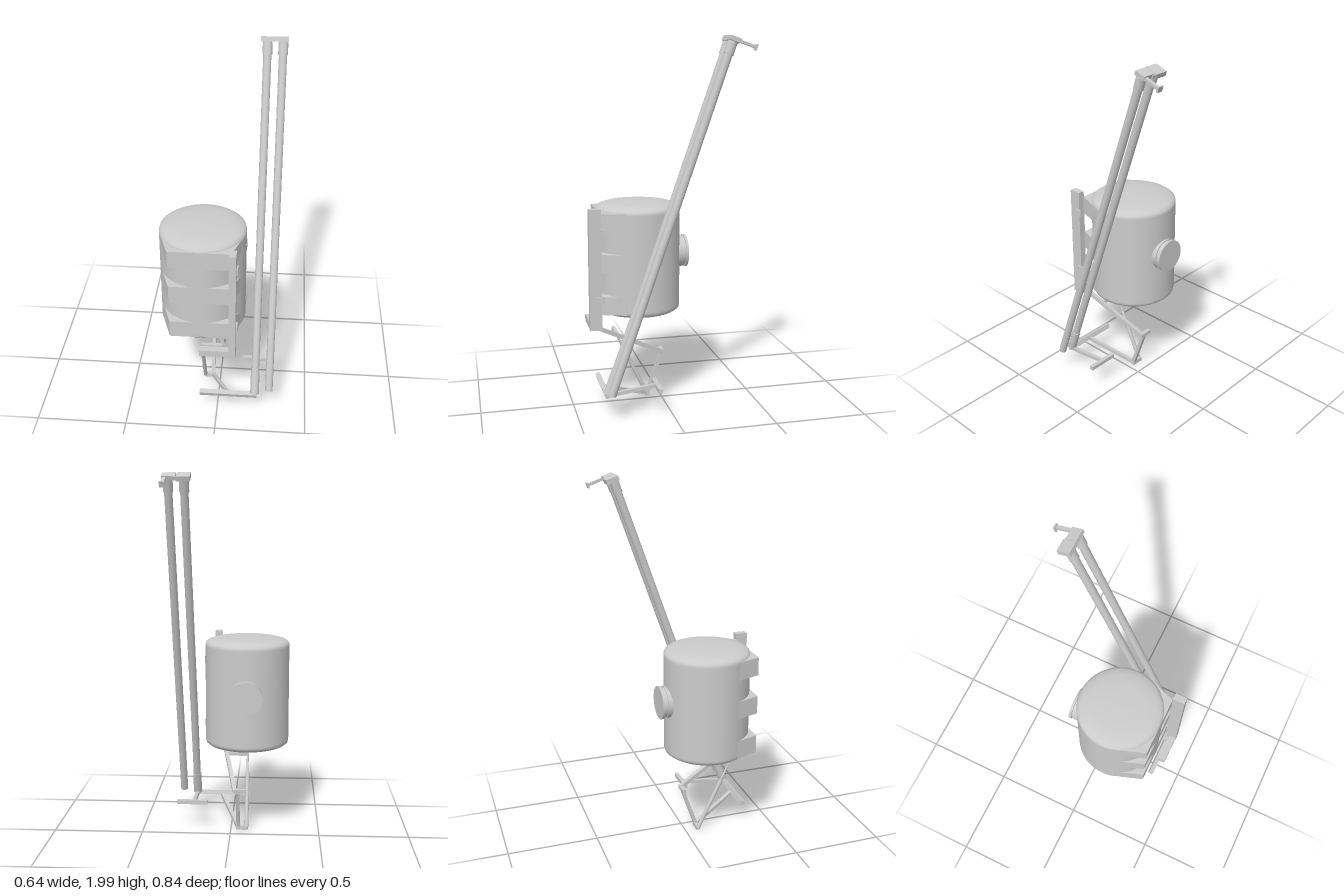
import * as THREE from 'three';

const grey = new THREE.MeshStandardMaterial({ color: 0xcccccc });
const thin = new THREE.MeshStandardMaterial({ color: 0xcccccc, side: THREE.DoubleSide });

function add(parent, name, geometry, x = 0, y = 0, z = 0, material = grey) {
  const mesh = new THREE.Mesh(geometry, material);
  mesh.name = name;
  mesh.position.set(x, y, z);
  parent.add(mesh);
  return mesh;
}

// Box given by its limits on each axis
function box(parent, name, x0, x1, y0, y1, z0, z1) {
  return add(parent, name, new THREE.BoxGeometry(x1 - x0, y1 - y0, z1 - z0),
    (x0 + x1) / 2, (y0 + y1) / 2, (z0 + z1) / 2);
}

// Square bar between two points
function bar(parent, name, a, b, w = 0.02, h = w) {
  const p = new THREE.Vector3(...a), q = new THREE.Vector3(...b);
  const mesh = add(parent, name, new THREE.BoxGeometry(w, h, p.distanceTo(q)));
  mesh.position.copy(p).add(q).multiplyScalar(0.5);
  mesh.lookAt(q);
  return mesh;
}

// Round rod between two points
function rod(parent, name, a, b, r) {
  const p = new THREE.Vector3(...a), q = new THREE.Vector3(...b);
  const mesh = add(parent, name, new THREE.CylinderGeometry(r, r, p.distanceTo(q), 16));
  mesh.position.copy(p).add(q).multiplyScalar(0.5);
  mesh.quaternion.setFromUnitVectors(new THREE.Vector3(0, 1, 0), q.sub(p).normalize());
  return mesh;
}

function lathe(points, segments = 48) {
  return new THREE.LatheGeometry(points.map(([r, y]) => new THREE.Vector2(r, y)), segments);
}

function createTank() {
  const g = new THREE.Group();
  g.name = 'tank';
  const cx = -0.09, cz = 0.116, R = 0.2325;

  // Vessel with shallow domed ends
  const end = [[0, 0], [0.08, 0.002], [0.14, 0.005], [0.185, 0.011], [0.215, 0.02], [0.229, 0.03], [R, 0.042], [R, 0.05]];
  const profile = [
    ...end.map(([r, d]) => [r, 0.495 + d]),
    ...end.slice().reverse().map(([r, d]) => [r, 1.12 - d]),
  ];
  add(g, 'vessel', lathe(profile, 64), cx, 0, cz);

  // Rear port: collar, groove and cap rim
  const port = new THREE.Group();
  port.name = 'rearPort';
  port.position.set(cx, 0.825, 0);
  port.rotation.x = -Math.PI / 2;
  for (const [name, r, d0, d1] of [['collar', 0.088, 0.04, 0.128], ['groove', 0.082, 0.12, 0.146], ['cap', 0.09, 0.143, 0.157]])
    add(port, name, new THREE.CylinderGeometry(r, r, d1 - d0, 40), 0, (d0 + d1) / 2, 0);
  g.add(port);

  // Three saddle blocks behind the front post
  const s = new THREE.Shape([[-0.298, 0.2], [0.118, 0.2], [0.118, 0.22], [0.074, 0.347], [-0.254, 0.347], [-0.298, 0.22]]
    .map(([x, y]) => new THREE.Vector2(x, y)));
  for (const top of [1.08, 0.86, 0.63]) {
    const geo = new THREE.ExtrudeGeometry(s, { depth: 0.1, bevelEnabled: false });
    add(g, 'saddle', geo, 0, top, 0).rotation.x = Math.PI / 2;
  }

  // Straps on the left side with tabs at the post
  for (const y of [0.988, 0.622]) {
    const arc = new THREE.CylinderGeometry(0.2355, 0.2355, 0.036, 20, 1, true, 0.7, 1.05);
    add(g, 'strap', arc, cx, y, cz, thin);
    box(g, 'strapTab', 0.104, 0.112, y - 0.018, y + 0.018, 0.335, 0.378);
  }
  return g;
}

function createMasts() {
  const g = new THREE.Group();
  g.name = 'masts';
  g.position.set(0, 0.138, 0.341);
  g.rotation.x = -0.335;

  // Twin leaning tubes with end collars
  for (const [x, y0] of [[0.212, 0], [0.292, 0.02]]) {
    add(g, 'tube', new THREE.CylinderGeometry(0.021, 0.021, 1.935 - y0, 24), x, (1.935 + y0) / 2, 0);
    add(g, 'topCollar', new THREE.CylinderGeometry(0.025, 0.025, 0.065, 24), x, 1.9, 0);
  }
  add(g, 'footSleeve', new THREE.CylinderGeometry(0.0245, 0.0245, 0.135, 24), 0.212, 0.0675, 0);

  // Head plates and rear arm
  box(g, 'headPlate', 0.178, 0.247, 1.934, 1.959, -0.044, 0.025);
  box(g, 'headLink', 0.24, 0.265, 1.937, 1.955, -0.04, -0.03);
  box(g, 'headLink', 0.24, 0.265, 1.937, 1.955, 0.01, 0.024);
  box(g, 'headPlate', 0.251, 0.319, 1.936, 1.959, -0.034, 0.024);
  box(g, 'rearArm', 0.297, 0.315, 1.939, 1.953, -0.118, -0.03);
  box(g, 'armEndPlate', 0.288, 0.319, 1.931, 1.96, -0.125, -0.116);
  return g;
}

function createLinkage() {
  const g = new THREE.Group();
  g.name = 'linkage';

  // Upper arm, rear link and lower arm
  bar(g, 'upperArm', [0.058, 0.462, 0.385], [-0.025, 0.263, -0.01], 0.022);
  bar(g, 'rearLink', [-0.042, 0.27, -0.012], [-0.042, 0.018, 0.075], 0.02);
  bar(g, 'lowerArm', [-0.042, 0.02, 0.075], [0.07, 0.128, 0.352], 0.02);

  // Cross pins at the joints
  bar(g, 'ramPin', [-0.092, 0.4, 0.257], [0.03, 0.4, 0.257], 0.02);
  bar(g, 'rearPin', [-0.09, 0.262, -0.008], [-0.015, 0.262, -0.008], 0.022);
  bar(g, 'lowerPin', [-0.097, 0.018, 0.073], [-0.03, 0.018, 0.073], 0.022);

  // Ram: narrow rod in a wider body
  rod(g, 'ramRod', [-0.09, 0.4, 0.257], [-0.09, 0.27, 0.196], 0.006);
  rod(g, 'ramBody', [-0.09, 0.3, 0.21], [-0.09, 0.018, 0.075], 0.011);

  // Front bar, foot bar and short rear crossbar
  bar(g, 'frontBar', [-0.097, 0.13, 0.345], [0.225, 0.13, 0.345], 0.026).rotateZ(0.33);
  bar(g, 'footBar', [0.212, 0.128, 0.345], [0.212, 0.163, 0.08], 0.02);
  bar(g, 'rearCrossbar', [0.133, 0.164, 0.077], [0.308, 0.164, 0.077], 0.022);
  return g;
}

export function createModel() {
  const model = new THREE.Group();
  model.name = 'tankAndMastRig';
  model.add(createTank(), createMasts(), createLinkage());

  // Front post with its foot
  box(model, 'frontPost', 0.067, 0.105, 0.455, 1.11, 0.35, 0.415);
  box(model, 'postFoot', -0.09, 0.105, 0.456, 0.492, 0.373, 0.413);
  return model;
}
